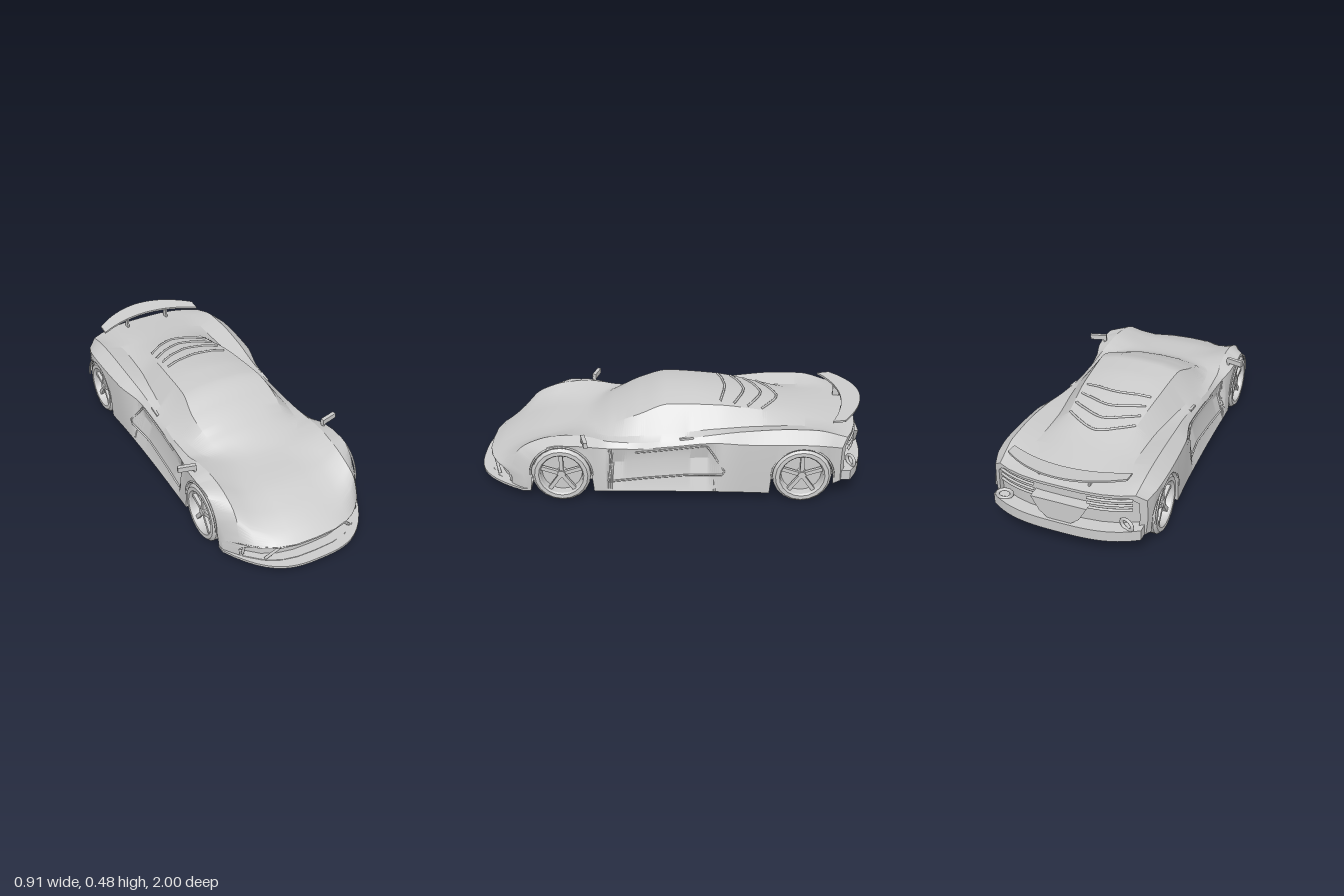
import * as THREE from 'three';
import { toCreasedNormals } from 'three/addons/utils/BufferGeometryUtils.js';

const material = new THREE.MeshStandardMaterial({ color: 0xcccccc });
const FRONT = 0.54, REAR = -0.67, ARCH = 0.153, NOSE = 0.95, TAIL = -0.96;

function add(parent, name, geometry, x = 0, y = 0, z = 0) {
  const mesh = new THREE.Mesh(geometry, material);
  mesh.name = name;
  mesh.position.set(x, y, z);
  parent.add(mesh);
  return mesh;
}

// Smooth interpolation without overshoot; keys are [z, ...values], front to back
function track(keys) {
  const slope = (i, c) => (keys[i + 1][c] - keys[i][c]) / (keys[i + 1][0] - keys[i][0]);
  const tangent = (i, c) => {
    if (i === 0) return slope(0, c);
    if (i === keys.length - 1) return slope(i - 1, c);
    const a = slope(i - 1, c), b = slope(i, c);
    return a * b > 0 ? (2 * a * b) / (a + b) : 0;
  };
  return (s) => {
    let i = 0;
    while (i < keys.length - 2 && s < keys[i + 1][0]) i++;
    const h = keys[i + 1][0] - keys[i][0];
    const t = THREE.MathUtils.clamp((s - keys[i][0]) / h, 0, 1), t2 = t * t, t3 = t2 * t;
    return keys[i].slice(1).map((v, n) => (2 * t3 - 3 * t2 + 1) * v + (t3 - 2 * t2 + t) * h * tangent(i, n + 1)
      + (3 * t2 - 2 * t3) * keys[i + 1][n + 1] + (t3 - t2) * h * tangent(i + 1, n + 1));
  };
}

// Lines that run the length of the body: [z, x, y]
const spine = track([[.95, .145], [.88, .19], [.78, .235], [.65, .275], [.45, .30], [.3, .37], [.15, .437], [0, .483],
  [-.1, .483], [-.25, .468], [-.45, .43], [-.65, .387], [-.85, .358], [-.96, .345]]);
const roofEdge = track([[.95, .2, .145], [.88, .2, .185], [.78, .2, .235], [.65, .2, .275], [.45, .14, .3], [.38, .17, .315],
  [.3, .215, .345], [.15, .235, .41], [0, .215, .457], [-.25, .2, .445], [-.45, .18, .412], [-.65, .165, .375], [-.85, .2, .352], [-.96, .2, .343]]);
const glassBase = track([[.95, .285, .143], [.88, .28, .21], [.78, .27, .26], [.65, .26, .294], [.45, .23, .31], [.38, .25, .31],
  [.3, .29, .312], [.15, .305, .322], [0, .305, .335], [-.25, .28, .35], [-.45, .255, .352], [-.65, .25, .355], [-.85, .28, .35], [-.96, .28, .34]]);
const fender = track([[.95, .335, .14], [.92, .335, .2], [.88, .33, .25], [.78, .325, .295], [.65, .325, .326], [.5, .33, .337],
  [.4, .335, .33], [.3, .345, .31], [.15, .345, .302], [0, .338, .312], [-.2, .335, .34], [-.4, .345, .37], [-.6, .35, .384], [-.75, .35, .38], [-.96, .34, .338]]);
const shoulder = track([[.95, .375, .125], [.92, .385, .175], [.88, .39, .22], [.78, .395, .275], [.65, .402, .305], [.5, .403, .314],
  [.4, .398, .305], [.3, .375, .285], [.15, .36, .275], [0, .355, .285], [-.2, .362, .31], [-.4, .405, .325], [-.65, .416, .33], [-.85, .408, .32], [-.96, .385, .3]]);
const waist = track([[.95, .388, .1], [.88, .395, .14], [.7, .403, .2], [.32, .396, .2], [.27, .355, .2], [-.19, .345, .22],
  [-.27, .39, .22], [-.45, .412, .22], [-.7, .419, .21], [-.96, .388, .2]]);
const sill = track([[.95, .385, .055], [.8, .395, .055], [.6, .407, .052], [.4, .4, .052], [0, .396, .052], [-.3, .4, .052],
  [-.65, .415, .055], [-.8, .41, .075], [-.96, .38, .11]]);

// Plan curvature of nose and tail
function bend(s) {
  if (s > 0.45) return 3.8 * (s - 0.45) / (NOSE - 0.45);
  if (s < -0.7) return -1.7 * (-0.7 - s) / (-0.7 - TAIL);
  return 0;
}
const planZ = (x, s, k = bend(s)) => s - k * Math.abs(x) ** 3;

// Height of the wheel opening above the floor line
function archY(z, floor) {
  for (const c of [FRONT, REAR]) {
    const d = Math.abs(z - c);
    if (d < ARCH) return 0.15 + Math.sqrt(ARCH * ARCH - d * d);
  }
  return floor;
}

// Half cross-section from roof centre over the side to floor centre
function section(s) {
  const yc = spine(s)[0], edge = roofEdge(s), sh = shoulder(s), wa = waist(s), [sx, floor] = sill(s);
  const open = archY(planZ(sx, s), floor), inner = 0.28;
  return [[0, yc], [edge[0] * 0.55, edge[1] + (yc - edge[1]) * 0.8], edge, glassBase(s), fender(s),
    [sh[0], Math.max(sh[1], open + 0.012)], [wa[0], Math.max(wa[1], open + 0.006)], [sx, open],
    [inner, archY(planZ(inner, s), floor)], [inner, floor], [0.2, floor], [0.11, floor], [0, floor]];
}

function along(points, from, to, axis, value) {
  for (let i = from; i < to; i++) {
    const a = points[i], b = points[i + 1], t = (value - a[axis]) / (b[axis] - a[axis]);
    if (t >= 0 && t <= 1) return a[1 - axis] + (b[1 - axis] - a[1 - axis]) * t;
  }
  return points[to][1 - axis];
}
const topY = (x, z) => along(section(z), 0, 4, 0, Math.abs(x));
const sideX = (z, y) => along(section(z), 4, 7, 1, y);

function bodyGeometry() {
  const ring = (half, s, k) => {
    const right = half.map(([x, y]) => [x, y, planZ(x, s, k)]);
    return [...right, ...right.slice(1, -1).reverse().map(([x, y, z]) => [-x, y, z])];
  };
  // Recessed end faces: inset rim, back wall, closing line
  const end = (s, depth, mid, fx, fy) => {
    const half = section(s), inset = half.map(([x, y]) => [x * fx, mid + (y - mid) * fy]);
    return [ring(inset, s, bend(s)), ring(inset, s - depth, bend(s)), ring(inset.map(([x]) => [x, mid]), s - depth, bend(s))];
  };
  const rings = end(NOSE, 0.05, 0.1, 0.87, 0.82).reverse();
  const steps = 190;
  for (let i = 0; i <= steps; i++) {
    const s = NOSE + (TAIL - NOSE) * i / steps;
    rings.push(ring(section(s), s));
  }
  rings.push(...end(TAIL, -0.03, 0.23, 0.92, 0.88));
  const n = rings[0].length, index = [];
  for (let i = 0; i < rings.length - 1; i++) for (let j = 0; j < n; j++) {
    const a = i * n + j, b = i * n + (j + 1) % n;
    index.push(a, b, a + n, b, b + n, a + n);
  }
  const geometry = new THREE.BufferGeometry();
  geometry.setAttribute('position', new THREE.Float32BufferAttribute(rings.flat(2), 3));
  geometry.setIndex(index);
  return toCreasedNormals(geometry, 0.45);
}

function bar(parent, name, points, radius) {
  const path = new THREE.CurvePath();
  const v = points.map((p) => new THREE.Vector3(...p));
  for (let i = 1; i < v.length; i++) path.add(new THREE.LineCurve3(v[i - 1], v[i]));
  return add(parent, name, new THREE.TubeGeometry(path, (v.length - 1) * 4, radius, 6));
}

// Flat plate between a front and a back edge, both given as z(x)
function plate(half, frontZ, backZ, thickness) {
  const xs = Array.from({ length: 25 }, (_, i) => half * (i / 12 - 1));
  const pts = [...xs.map((x) => new THREE.Vector2(x, -frontZ(x))), ...xs.reverse().map((x) => new THREE.Vector2(x, -backZ(x)))];
  return new THREE.ExtrudeGeometry(new THREE.Shape(pts), { depth: thickness, bevelEnabled: false }).rotateX(-Math.PI / 2);
}

function wheel(parent, name, side, z) {
  const group = new THREE.Group();
  group.name = name;
  const profile = [[0, -.06], [.13, -.06], [.148, -.045], [.148, .045], [.134, .059], [.114, .059], [.107, .05], [.102, .012], [0, .012]];
  const tyre = new THREE.LatheGeometry(profile.map((p) => new THREE.Vector2(...p)), 20).rotateZ(-Math.PI / 2);
  add(group, 'tyreAndRim', toCreasedNormals(tyre, 0.5));
  add(group, 'hub', new THREE.CylinderGeometry(0.02, 0.026, 0.04, 12).rotateZ(-Math.PI / 2), 0.03);
  for (let i = 0; i < 5; i++) {
    const spoke = new THREE.BoxGeometry(0.018, 0.095, 0.02).translate(0.035, 0.06, 0);
    add(group, 'spoke', spoke).rotation.x = i * Math.PI * 2 / 5;
  }
  group.position.set(side * 0.349, 0.148, z);
  if (side < 0) group.rotation.y = Math.PI;
  parent.add(group);
}

export function createModel() {
  const car = new THREE.Group();
  car.name = 'sportsCar';
  add(car, 'body', bodyGeometry());

  // Front splitter
  add(car, 'frontSplitter', plate(0.39, (x) => 1 - 4.4 * Math.abs(x) ** 3, () => 0.7, 0.012), 0, 0.048);

  // Rear wing, rising toward its trailing edge
  const wing = plate(0.297, (x) => -0.9 + 0.9 * x * x, (x) => -1 + 1.33 * x * x, 0.01);
  const p = wing.attributes.position;
  for (let i = 0; i < p.count; i++) p.setY(i, p.getY(i) + 0.393 + (-0.82 - p.getZ(i)) * 0.12);
  wing.computeVertexNormals();
  add(car, 'rearWing', wing);

  // Rear bumper and pointed centre panel
  add(car, 'rearBumper', plate(0.375, () => -0.86, (x) => -1 + 1.6 * Math.abs(x) ** 3, 0.055), 0, 0.112);
  const panel = new THREE.Shape([[-.14, .27], [-.1, .2], [0, .12], [.1, .2], [.14, .27]].map((q) => new THREE.Vector2(...q)));
  add(car, 'rearCentrePanel', new THREE.ExtrudeGeometry(panel, { depth: 0.06, bevelEnabled: false }), 0, 0, -0.985);

  // Engine cover louvres
  for (const [centre, tip] of [[-.29, -.26], [-.39, -.33], [-.48, -.4], [-.565, -.47]]) {
    const pts = [];
    for (let i = -8; i <= 8; i++) {
      const x = i / 8 * 0.172, z = centre + (tip - centre) * Math.abs(i / 8) ** 1.5;
      pts.push([x, topY(x, z) + 0.002, z]);
    }
    bar(car, 'engineLouvre', pts, 0.006);
  }

  for (const side of [1, -1]) {
    wheel(car, 'frontWheel', side, FRONT);
    wheel(car, 'rearWheel', side, REAR);
    for (const [z, x] of [[FRONT, 0.402], [REAR, 0.412]]) {
      const lip = new THREE.TorusGeometry(ARCH + 0.003, 0.005, 6, 24, Math.PI).rotateY(Math.PI / 2);
      add(car, 'wheelArchLip', lip, side * x, 0.15, z);
    }

    // Door scoop edges and handle
    const onSide = (list) => list.map(([z, y]) => [side * (sideX(z, y) + 0.001), y, z]);
    bar(car, 'fenderEdge', onSide([[.3, .28], [.285, .2], [.305, .11]]), 0.005);
    bar(car, 'scoopEdge', onSide([[.17, .255], [.05, .265], [-.08, .28], [-.19, .295], [-.23, .24], [-.28, .17], [-.28, .15], [-.1, .135], [.1, .12], [.28, .105]]), 0.005);
    add(car, 'doorHandle', new THREE.BoxGeometry(0.02, 0.012, 0.07), side * 0.33, 0.322, -0.09).rotation.x = 0.15;

    // Mirror on its stalk
    const mirror = add(car, 'wingMirror', new THREE.BoxGeometry(0.092, 0.028, 0.02), side * 0.41, 0.344, 0.418);
    mirror.rotation.y = side * 0.25;
    add(car, 'mirrorStalk', new THREE.BoxGeometry(0.012, 0.04, 0.018), side * 0.372, 0.325, 0.428);

    // Front intake dividers
    const atNose = (x, y) => [side * x, y, planZ(x, NOSE - 0.015, bend(NOSE))];
    bar(car, 'intakeDivider', [atNose(0.175, 0.136), atNose(0.24, 0.062)], 0.008);
    bar(car, 'intakeOuterEdge', [atNose(0.315, 0.135), atNose(0.322, 0.07)], 0.008);

    // Tail light slats and lower lamp
    for (const y of [0.318, 0.292, 0.266]) {
      const pts = [0.13, 0.18, 0.23, 0.28, 0.33].map((x) => [side * x, y - x * 0.02, planZ(x, TAIL, bend(TAIL))]);
      bar(car, 'tailLightSlat', pts, 0.007);
    }
    const lamp = add(car, 'rearLampRing', new THREE.TorusGeometry(0.026, 0.008, 8, 16), side * 0.31, 0.19, -0.925);
    lamp.scale.x = 1.3;
    lamp.rotation.y = side * 0.4;
    add(car, 'wingStrut', new THREE.BoxGeometry(0.01, 0.06, 0.035), side * 0.125, 0.375, -0.9);
  }
  return car;
}
